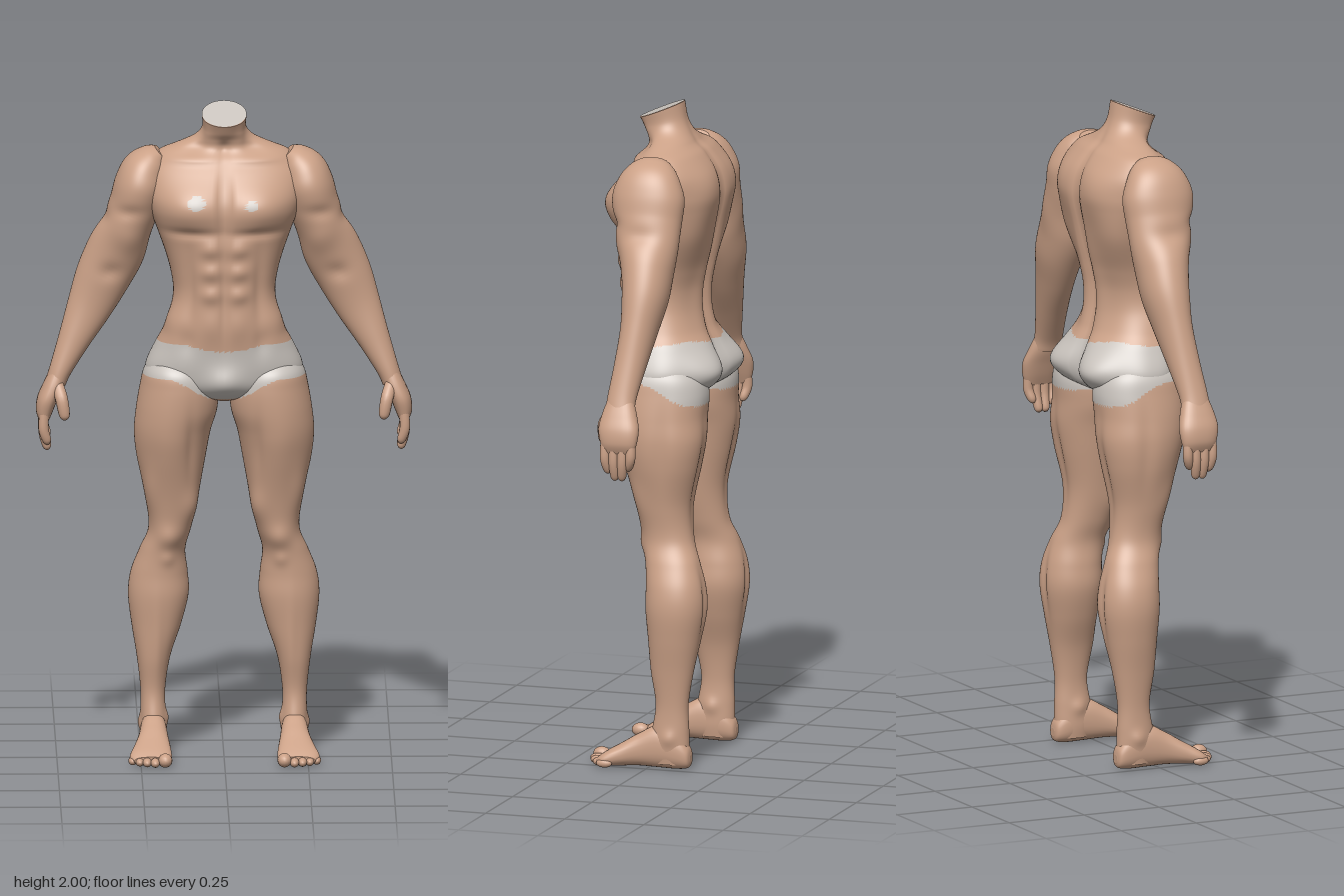
import * as THREE from 'three';

const skin = new THREE.MeshStandardMaterial({ color: 0xcba187 });
skin.name = 'skin';
const cloth = new THREE.MeshStandardMaterial({ color: 0xc9c3bd });
cloth.name = 'pale cloth';

const { smoothstep, clamp } = THREE.MathUtils;
const spow = (c, e) => Math.sign(c) * Math.abs(c) ** e;
const cubic = (a, b, c, d, t) =>
  b + 0.5 * t * (c - a + t * (2 * a - 5 * b + 4 * c - d + t * (3 * (b - c) + d - a)));

// Smooth skin through rings [x, y, z, half width, v high, v low, squareness].
// Bumps [x, y, z, rx, ry, rz, height] swell or groove the surface.
function loft(name, rings, o = {}) {
  const { seg = 32, steps = 8, side = 1, along = false, v = [0, 0, 1], bumps = [], warp, pick } = o;
  const at = (i) => rings[clamp(i, 0, rings.length - 1)];
  const rows = [];
  for (let i = 0; i < rings.length - 1; i++) {
    for (let s = 0; s < steps + (i === rings.length - 2 ? 1 : 0); s++) {
      rows.push(Array.from({ length: 7 }, (_, k) => cubic(
        ...[-1, 0, 1, 2].map((d) => at(i + d)[k] ?? 1), s / steps)));
    }
  }
  const V = new THREE.Vector3(...v), pos = [];
  const addRow = (i, shrink) => {
    const [x, y, z, w, hi, lo, e] = rows[i];
    const U = new THREE.Vector3(1, 0, 0);
    if (along) {
      const a = rows[Math.max(i - 1, 0)], b = rows[Math.min(i + 1, rows.length - 1)];
      U.set(a[1] - b[1], b[0] - a[0], 0).normalize();
    }
    for (let j = 0; j < seg; j++) {
      const t = (j / seg) * Math.PI * 2, c = Math.cos(t), n = Math.sin(t);
      const p = new THREE.Vector3(x, y, z)
        .addScaledVector(U, w * spow(c, e) * shrink)
        .addScaledVector(V, (hi + lo) / 2 + ((hi - lo) / 2) * spow(n, e) * shrink);
      let h = 0;
      for (const [bx, by, bz, rx, ry, rz, amp] of bumps) {
        h += amp * Math.exp(-(((Math.abs(p.x) - bx) / rx) ** 2)
          - ((p.y - by) / ry) ** 2 - ((p.z - bz) / rz) ** 2);
      }
      p.addScaledVector(U, c * h * shrink).addScaledVector(V, n * h * shrink);
      if (warp) warp(p);
      pos.push(p.x * side, p.y, p.z);
    }
  };
  addRow(0, 0);
  addRow(0, 1);
  rows.forEach((_, i) => addRow(i, 1));
  addRow(rows.length - 1, 1);
  addRow(rows.length - 1, 0);

  // Faces sorted by colour, turned outward by the sign of the volume
  const P = (i) => new THREE.Vector3().fromArray(pos, i * 3);
  const sets = [[], []];
  let volume = 0;
  for (let i = 0; i < rows.length + 3; i++) {
    for (let j = 0; j < seg; j++) {
      const a = i * seg + j, b = i * seg + (j + 1) % seg, c = a + seg, d = b + seg;
      for (const f of [[a, b, d], [a, d, c]]) {
        const [A, B, C] = f.map(P);
        const mid = A.clone().add(B).add(C).divideScalar(3);
        volume += A.clone().sub(P(0)).dot(B.clone().sub(P(0)).cross(C.clone().sub(P(0))));
        sets[pick && pick(mid) ? 1 : 0].push(f);
      }
    }
  }
  const g = new THREE.BufferGeometry();
  g.setAttribute('position', new THREE.Float32BufferAttribute(pos, 3));
  g.setIndex(sets.flat().flatMap(([a, b, c]) => (volume < 0 ? [a, c, b] : [a, b, c])));
  g.addGroup(0, sets[0].length * 3, 0);
  if (sets[1].length) g.addGroup(sets[0].length * 3, sets[1].length * 3, 1);
  g.computeVertexNormals();
  const mesh = new THREE.Mesh(g, pick ? [skin, cloth] : skin);
  mesh.name = name;
  return mesh;
}

// Briefs lie between a waistband and a hem that drops to crotch and back
function inBriefs(p) {
  const x = Math.abs(p.x);
  const top = 1.265 + 0.02 * smoothstep(x, 0, 0.15) + 0.01 * smoothstep(-p.z, 0, 0.1);
  const hem = 1.112 + 0.066 * smoothstep(p.z, -0.14, 0.03) * smoothstep(x, 0.02, 0.17);
  return p.y < top && p.y > hem;
}
const paleSpot = (p) => p.z > 0.08
  && Math.hypot(p.x + 0.085, (p.y - 1.725) * 1.2) < 0.025
  || p.z > 0.08 && Math.hypot(p.x - 0.08, p.y - 1.718) < 0.017;

function torso() {
  const rings = [
    [1.972, 0.067, 0.1, -0.035, 1], [1.93, 0.066, 0.085, -0.045, 1],
    [1.9, 0.09, 0.07, -0.062, 1], [1.875, 0.15, 0.065, -0.085, 0.95],
    [1.85, 0.2, 0.078, -0.112, 0.9], [1.8, 0.235, 0.115, -0.142, 0.85],
    [1.74, 0.235, 0.15, -0.155, 0.8], [1.69, 0.225, 0.162, -0.155, 0.8],
    [1.63, 0.203, 0.157, -0.146, 0.8], [1.56, 0.178, 0.152, -0.132, 0.8],
    [1.5, 0.161, 0.148, -0.115, 0.82], [1.44, 0.152, 0.143, -0.1, 0.85],
    [1.38, 0.156, 0.14, -0.098, 0.85], [1.32, 0.18, 0.138, -0.11, 0.85],
    [1.27, 0.207, 0.133, -0.127, 0.85], [1.2, 0.235, 0.124, -0.14, 0.85],
    [1.15, 0.215, 0.112, -0.125, 0.9], [1.12, 0.12, 0.09, -0.09, 1], [1.1, 0.03, 0.05, -0.05, 1],
  ].map(([y, w, f, b, e]) => [0, y, 0, w, f, b, e]);
  const bumps = [
    [0.1, 1.705, 0.16, 0.08, 0.07, 0.1, 0.026], [0.1, 1.628, 0.16, 0.075, 0.014, 0.1, -0.009], // chest
    [0, 1.72, 0.16, 0.013, 0.1, 0.1, -0.018], [0, 1.46, 0.15, 0.01, 0.15, 0.08, -0.009], // centre line
    ...[1.58, 1.51, 1.44].map((y) => [0.04, y, 0.15, 0.03, 0.026, 0.08, 0.012]), // abdomen
    [0.04, 1.35, 0.14, 0.035, 0.05, 0.08, 0.008],
    [0.105, 1.46, 0.13, 0.018, 0.12, 0.07, -0.008], [0.15, 1.36, 0.07, 0.045, 0.05, 0.08, 0.012], // flanks
    [0.115, 1.29, 0.13, 0.025, 0.04, 0.06, -0.008],
    [0.1, 1.842, 0.08, 0.09, 0.012, 0.05, 0.009], [0.09, 1.88, 0.06, 0.04, 0.02, 0.04, -0.012], // collar
    [0, 1.87, 0.07, 0.018, 0.025, 0.04, -0.01], [0.05, 1.92, 0.07, 0.015, 0.05, 0.03, 0.004],
    [0, 1.55, -0.14, 0.018, 0.28, 0.1, -0.026], [0.045, 1.4, -0.1, 0.035, 0.12, 0.06, 0.012], // back
    [0.1, 1.76, -0.15, 0.08, 0.075, 0.07, 0.016], [0.15, 1.62, -0.1, 0.06, 0.08, 0.07, 0.013],
    [0.1, 1.2, -0.14, 0.08, 0.075, 0.09, 0.055], [0, 1.19, -0.15, 0.022, 0.08, 0.1, -0.035], // seat
    [0, 1.165, 0.11, 0.05, 0.045, 0.06, 0.024],
  ];
  const warp = (p) => { // tilts the neck cut forward
    p.y -= 0.4 * clamp((p.y - 1.88) / 0.092, 0, 1) * (p.z - 0.0325);
  };
  return loft('torso', rings, { seg: 120, bumps, warp, pick: (p) => inBriefs(p) || paleSpot(p) });
}

function leg(side) {
  const rings = [ // y, inner x, outer x, front z, back z
    [1.23, 0.08, 0.215, 0.08, -0.1], [1.19, 0.04, 0.24, 0.118, -0.14], [1.14, 0.018, 0.252, 0.126, -0.155],
    [1.07, 0.02, 0.264, 0.123, -0.152], [1, 0.04, 0.27, 0.11, -0.153], [0.92, 0.055, 0.262, 0.088, -0.14],
    [0.8, 0.077, 0.235, 0.058, -0.115], [0.7, 0.098, 0.226, 0.036, -0.12], [0.63, 0.115, 0.252, 0.02, -0.145],
    [0.56, 0.108, 0.278, 0.014, -0.165], [0.49, 0.105, 0.286, 0.014, -0.17], [0.4, 0.127, 0.276, 0.005, -0.155],
    [0.3, 0.16, 0.26, -0.005, -0.135], [0.2, 0.175, 0.249, -0.02, -0.12], [0.12, 0.173, 0.249, -0.008, -0.122],
    [0.06, 0.171, 0.249, 0, -0.122], [0.02, 0.176, 0.244, -0.01, -0.115],
  ].map(([y, a, b, f, k]) => [(a + b) / 2, y, 0, (b - a) / 2, f, k, 0.94]);
  const bumps = [
    [0.165, 0.675, 0.04, 0.032, 0.035, 0.04, 0.012], [0.17, 0.61, 0.02, 0.02, 0.02, 0.04, 0.006], // knee
    [0.1, 0.77, 0.03, 0.028, 0.05, 0.05, 0.011], [0.22, 0.82, 0.03, 0.025, 0.07, 0.05, 0.008],
    [0.16, 0.95, 0.1, 0.045, 0.12, 0.05, 0.008], [0.1, 0.98, 0.08, 0.015, 0.12, 0.05, -0.007], // thigh
    [0.155, 0.9, -0.14, 0.016, 0.14, 0.05, -0.009], [0.265, 0.98, -0.05, 0.04, 0.14, 0.025, -0.007],
    [0.195, 0.5, -0.17, 0.014, 0.09, 0.05, -0.01], [0.2, 0.36, 0, 0.015, 0.15, 0.03, 0.004], // calf
    [0.25, 0.1, -0.07, 0.02, 0.022, 0.022, 0.008], [0.17, 0.115, -0.06, 0.02, 0.022, 0.022, 0.008], // ankle
  ];
  return loft('leg', rings, { seg: 80, side, bumps, pick: inBriefs });
}

function foot(side) {
  const g = new THREE.Group();
  g.name = 'foot';
  const rings = [ // x, z, half width, top y, sole y
    [0.212, -0.13, 0.012, 0.05, 0.025], [0.212, -0.122, 0.028, 0.075, 0.01], [0.211, -0.09, 0.037, 0.11, 0.005],
    [0.211, -0.03, 0.04, 0.135, 0.006], [0.212, 0.03, 0.046, 0.108, 0.008], [0.216, 0.08, 0.056, 0.078, 0.006],
    [0.221, 0.125, 0.063, 0.052, 0.005], [0.22, 0.15, 0.05, 0.035, 0.01],
  ].map(([x, z, w, t, s]) => [x, 0, z, w, t, s, 0.85]);
  g.add(loft('footBody', rings, { v: [0, 1, 0], side }));
  [[0.178, 0.163, 0.021], [0.208, 0.163, 0.014], [0.232, 0.155, 0.0135], [0.254, 0.142, 0.013], [0.275, 0.124, 0.013]]
    .forEach(([x, z, r]) => {
      const toe = new THREE.Mesh(new THREE.SphereGeometry(r, 16, 12), skin);
      toe.name = 'toe';
      toe.scale.z = r > 0.02 ? 1.3 : 1.9;
      toe.position.set(x * side, 0.006 + r, z);
      g.add(toe);
    });
  return g;
}

function arm(side) {
  const rings = [
    [0.19, 1.85, 0, 0.025, 0.035, -0.05], [0.21, 1.83, 0, 0.05, 0.065, -0.08], [0.235, 1.795, 0, 0.07, 0.09, -0.105],
    [0.252, 1.75, 0, 0.076, 0.102, -0.12], [0.268, 1.69, 0, 0.076, 0.092, -0.117], [0.294, 1.62, 0, 0.078, 0.07, -0.11],
    [0.322, 1.55, 0, 0.087, 0.05, -0.108], [0.36, 1.47, 0, 0.083, 0.034, -0.104], [0.4, 1.38, 0, 0.069, 0.025, -0.085],
    [0.447, 1.28, 0, 0.049, 0.03, -0.066], [0.488, 1.19, 0, 0.034, 0.038, -0.05], [0.503, 1.15, 0, 0.031, 0.04, -0.05],
  ].map((r) => [...r, 0.96]);
  const bumps = [
    [0.29, 1.68, 0.09, 0.05, 0.02, 0.05, -0.008], [0.29, 1.6, 0.06, 0.04, 0.05, 0.04, 0.009], // biceps
    [0.3, 1.62, -0.1, 0.04, 0.06, 0.04, 0.007], [0.37, 1.66, -0.01, 0.04, 0.025, 0.06, -0.008],
    [0.34, 1.49, 0.04, 0.035, 0.025, 0.03, -0.009],
  ];
  return loft('arm', rings, { seg: 64, side, along: true, bumps });
}

function hand(side) {
  const g = new THREE.Group();
  g.name = 'hand';
  g.add(loft('palm', [
    [0.498, 1.18, 0, 0.026, 0.036, -0.046], [0.512, 1.14, 0, 0.031, 0.048, -0.06], [0.528, 1.1, 0, 0.031, 0.053, -0.071],
    [0.537, 1.06, 0, 0.025, 0.045, -0.068], [0.538, 1.03, 0, 0.013, 0.036, -0.058],
  ].map((r) => [...r, 0.85]), { side }));
  // Each digit is a tapered path: root, middle, tip, radius
  const digit = (name, pts, r) => g.add(loft(name, pts.map(([x, y, z], i) => {
    const k = r * [1, 1.05, 0.9, 0.35][i];
    return [x, y, z, k, k, -k];
  }), { side, along: true, seg: 14, steps: 5 }));
  [[0.03, 0.965], [0.003, 0.945], [-0.024, 0.945], [-0.05, 0.975]].forEach(([z, tip]) => {
    const h = 1.06 - tip;
    digit('finger', [[0.538, 1.06, z], [0.54, 1.06 - h * 0.5, z], [0.53, tip + 0.012, z * 0.85], [0.526, tip, z * 0.8]], 0.0145);
  });
  digit('thumb', [[0.5, 1.15, 0.025], [0.487, 1.11, 0.05], [0.478, 1.06, 0.055], [0.476, 1.045, 0.055]], 0.018);
  return g;
}

export function createModel() {
  const model = new THREE.Group();
  model.name = 'body';
  model.add(torso());
  // Flat cut across the neck
  const cut = new THREE.Mesh(new THREE.CircleGeometry(1, 48), cloth);
  cut.name = 'neckCut';
  cut.scale.set(0.067, 0.0727, 1);
  cut.rotation.x = -Math.PI / 2 + Math.atan(0.4);
  cut.position.set(0, 1.9735, 0.0325);
  model.add(cut);
  for (const side of [1, -1]) {
    const half = new THREE.Group();
    half.name = side > 0 ? 'leftLimbs' : 'rightLimbs';
    half.add(leg(side), foot(side), arm(side), hand(side));
    model.add(half);
  }
  return model;
}
